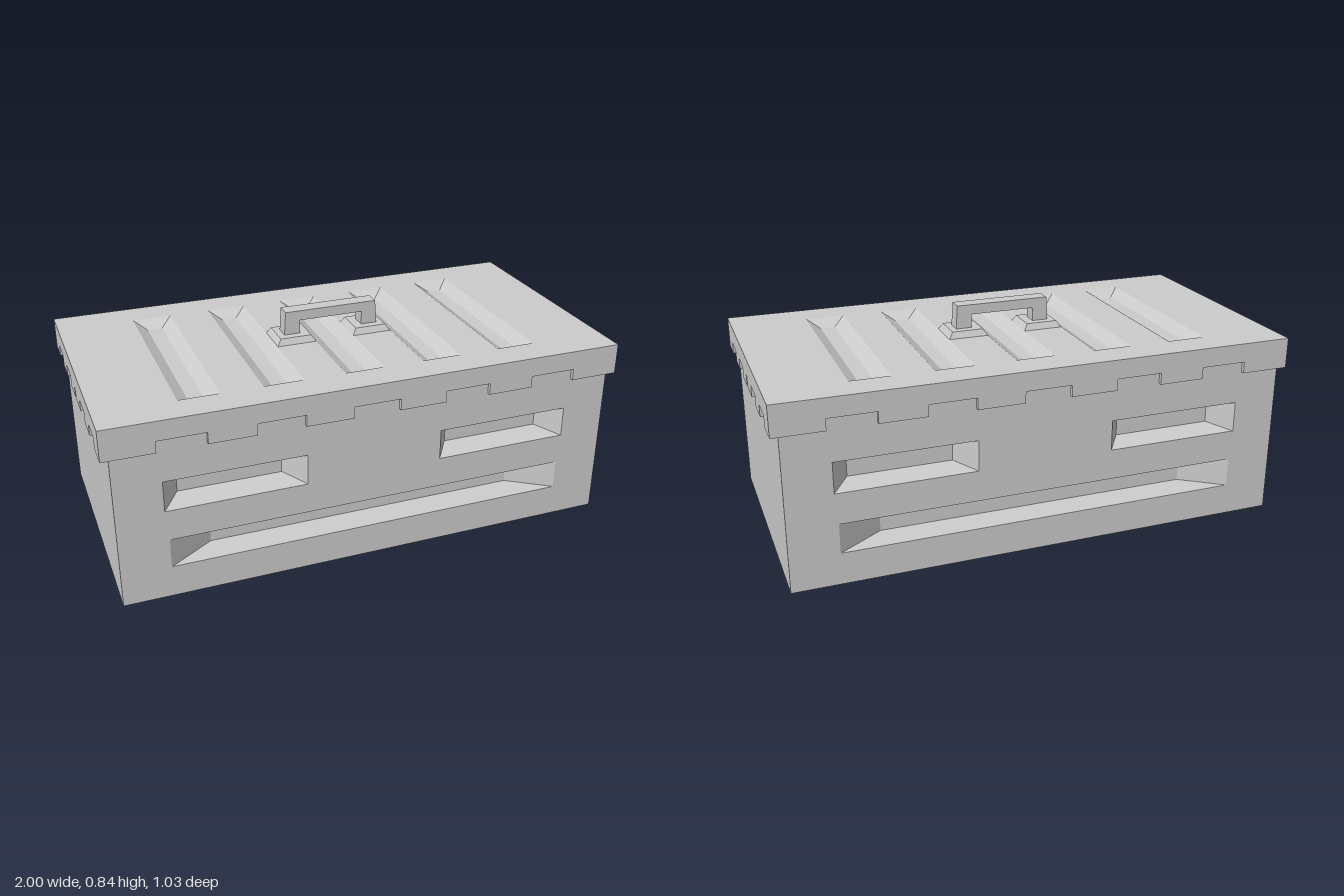
import * as THREE from 'three';

const material = new THREE.MeshStandardMaterial({ color: 0xcccccc, flatShading: true });
const BODY = { x: 0.97, z: 0.498, top: 0.72 };
const LID = { x: 1, z: 0.513, bottom: 0.605, notch: 0.65, top: 0.725 };

function add(parent, name, geometry) {
  const mesh = new THREE.Mesh(geometry, material);
  mesh.name = name;
  parent.add(mesh);
  return mesh;
}

// Rectangles are [x0, y0, x1, y1], with corners counter-clockwise
const corners = ([x0, y0, x1, y1]) => [[x0, y0], [x1, y0], [x1, y1], [x0, y1]];
const polygon = (points) => new THREE.Shape(points.map(([x, y]) => new THREE.Vector2(x, y)));

// Flat panel with rectangular openings
function panel(rect, openings) {
  const shape = polygon(corners(rect));
  for (const o of openings) shape.holes.push(polygon(corners(o)));
  return new THREE.ShapeGeometry(shape);
}

// Four sloped walls and a cap: a recess if h < 0, a raised block if h > 0
function frustum(rect, insetX, insetY, h) {
  const [x0, y0, x1, y1] = rect;
  const outer = corners(rect).map((p) => [...p, 0]);
  const inner = corners([x0 + insetX, y0 + insetY, x1 - insetX, y1 - insetY]).map((p) => [...p, h]);
  const positions = [];
  const quad = (a, b, c, d) => positions.push(...a, ...b, ...c, ...a, ...c, ...d);
  for (let k = 0; k < 4; k++) {
    const n = (k + 1) % 4;
    quad(outer[k], outer[n], inner[n], inner[k]);
  }
  quad(...inner);
  const geometry = new THREE.BufferGeometry();
  geometry.setAttribute('position', new THREE.Float32BufferAttribute(positions, 3));
  geometry.computeVertexNormals();
  return geometry;
}

// Lid skirt strip whose lower edge is cut by notches, given as [centre, half width]
function skirt(half, notches, thickness) {
  const points = [[-half, LID.bottom]];
  for (const [c, w] of notches) {
    points.push([c - w, LID.bottom], [c - w, LID.notch], [c + w, LID.notch], [c + w, LID.bottom]);
  }
  points.push([half, LID.bottom], [half, LID.top - 0.0001], [-half, LID.top - 0.0001]);
  return new THREE.ExtrudeGeometry(polygon(points), { depth: thickness, bevelEnabled: false });
}

function createBody() {
  const body = new THREE.Group();
  body.name = 'body';
  const grips = [[-0.795, 0.36, -0.265, 0.48], [0.265, 0.36, 0.795, 0.48]];
  const slot = [-0.785, 0.125, 0.785, 0.24];

  // Front and back are alike
  for (const [side, angle] of [['front', 0], ['back', Math.PI]]) {
    const face = new THREE.Group();
    face.name = side + 'Side';
    face.rotation.y = angle;
    add(face, side + 'Wall', panel([-BODY.x, 0, BODY.x, BODY.top], [...grips, slot])).position.z = BODY.z;
    for (const g of grips) add(face, 'gripRecess', frustum(g, 0.068, 0.012, -0.1)).position.z = BODY.z;
    add(face, 'longSlotRecess', frustum(slot, 0.17, 0.008, -0.1)).position.z = BODY.z;
    body.add(face);
  }

  // End walls and floor
  for (const s of [-1, 1]) {
    const end = add(body, s > 0 ? 'leftWall' : 'rightWall', new THREE.PlaneGeometry(2 * BODY.z, BODY.top));
    end.position.set(s * BODY.x, BODY.top / 2, 0);
    end.rotation.y = s * Math.PI / 2;
  }
  add(body, 'floor', new THREE.PlaneGeometry(2 * BODY.x, 2 * BODY.z)).rotation.x = Math.PI / 2;
  return body;
}

function createLid() {
  const lid = new THREE.Group();
  lid.name = 'lid';

  // Top with five sunken grooves
  const grooves = [-2, -1, 0, 1, 2].map((i) => [i * 0.312 - 0.077, -0.385, i * 0.312 + 0.077, 0.385]);
  const top = new THREE.Group();
  top.name = 'lidTop';
  top.rotation.x = -Math.PI / 2;
  top.position.y = LID.top;
  add(top, 'topPanel', panel([-LID.x, -LID.z, LID.x, LID.z], grooves));
  for (const g of grooves) add(top, 'groove', frustum(g, 0.048, 0.05, -0.03));
  lid.add(top);

  // Notched skirt
  const longNotches = [-0.72, -0.362, 0, 0.362, 0.72].map((c) => [c, 0.09]);
  const shortNotches = [[-0.36, 0.05], [-0.16, 0.05], [0, 0.009], [0.16, 0.05], [0.36, 0.05]];
  const gapX = LID.x - BODY.x;
  const gapZ = LID.z - BODY.z;
  const strips = [
    ['frontSkirt', LID.x, longNotches, gapZ, BODY.z, 0],
    ['leftSkirt', BODY.z, shortNotches, gapX, BODY.x, Math.PI / 2],
    ['backSkirt', LID.x, longNotches, gapZ, BODY.z, Math.PI],
    ['rightSkirt', BODY.z, shortNotches, gapX, BODY.x, -Math.PI / 2],
  ];
  for (const [name, half, notches, thickness, offset, angle] of strips) {
    const geometry = skirt(half, notches, thickness);
    geometry.translate(0, 0, offset);
    add(lid, name, geometry).rotation.y = angle;
  }
  return lid;
}

function createHandle() {
  const handle = new THREE.Group();
  handle.name = 'handle';

  // Sloped feet
  for (const s of [-1, 1]) {
    const foot = add(handle, 'handleFoot', frustum([-0.078, -0.074, 0.078, 0.074], 0.016, 0.012, 0.025));
    foot.rotation.x = -Math.PI / 2;
    foot.position.set(s * 0.155, LID.top, 0);
  }

  // Squared arch grip
  const arch = polygon([
    [-0.192, 0.745], [-0.128, 0.745], [-0.128, 0.803], [0.128, 0.803],
    [0.128, 0.745], [0.192, 0.745], [0.186, 0.842], [-0.186, 0.842],
  ]);
  const grip = new THREE.ExtrudeGeometry(arch, { depth: 0.06, bevelEnabled: false });
  grip.translate(0, 0, -0.03);
  add(handle, 'handleGrip', grip);
  return handle;
}

export function createModel() {
  const model = new THREE.Group();
  model.name = 'storageChest';
  model.add(createBody(), createLid(), createHandle());
  return model;
}
